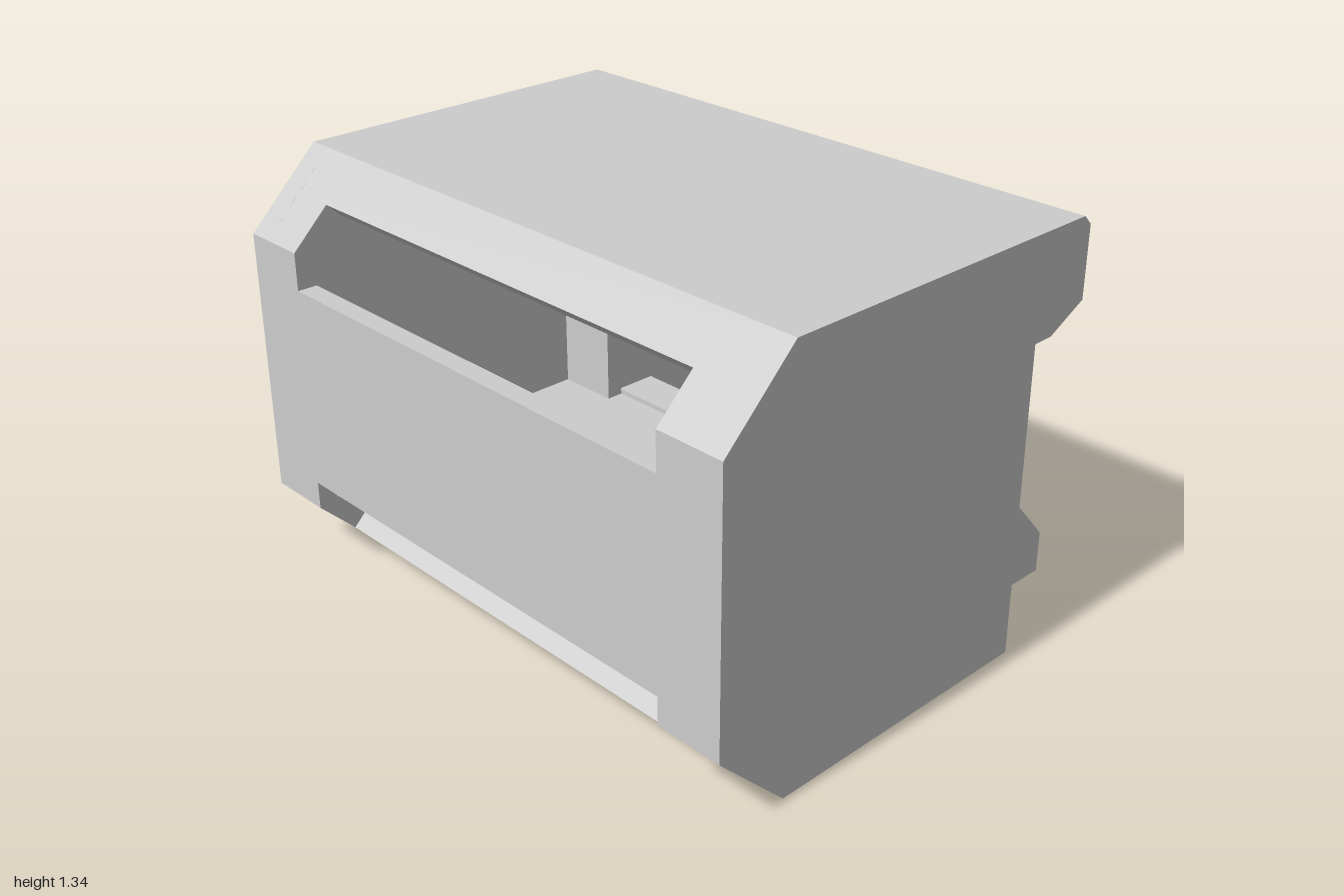
import * as THREE from 'three';

export function createModel() {
  const model = new THREE.Group();
  model.name = 'cabin';
  const grey = new THREE.MeshStandardMaterial({ color: 0xcccccc });
  grey.name = 'light grey';

  // Extrudes a side profile of [z, y] points between two x positions
  function slab(name, points, x0, x1) {
    const shape = new THREE.Shape(points.map(([z, y]) => new THREE.Vector2(z, y)));
    const geo = new THREE.ExtrudeGeometry(shape, { depth: x1 - x0, bevelEnabled: false });
    geo.rotateY(-Math.PI / 2).translate(x1, 0, 0);
    const mesh = new THREE.Mesh(geo, grey);
    mesh.name = name;
    model.add(mesh);
  }
  function pair(name, points, x0, x1) {
    slab(name + 'Left', points, x0, x1);
    slab(name + 'Right', points, -x1, -x0);
  }
  const rect = (z0, z1, y0, y1) => [[z0, y0], [z1, y0], [z1, y1], [z0, y1]];

  const inner = 0.92, slot = 0.775, door = 0.7;

  // Side walls carry the full outline
  pair('sideWall', [
    [-0.39, 0], [0.58, 0], [0.82, 0.24], [0.82, 1.1], [0.58, 1.335], [-0.57, 1.335],
    [-0.6, 1.305], [-0.6, 1.08], [-0.46, 1.01], [-0.39, 1.01],
  ], inner, 1);

  // Roof with sloped front edge, rear lintel and overhang
  slab('roof', [
    [0.58, 1.335], [-0.57, 1.335], [-0.6, 1.305], [-0.6, 1.08], [-0.46, 1.01], [-0.33, 1.01],
    [-0.33, 1.27], [0.555, 1.27], [0.653, 1.178], [0.697, 1.22],
  ], -inner, inner);

  // Floor and front wall between the two slots
  slab('floor', [[-0.39, 0], [0.58, 0], [0.7, 0.12], [0.565, 0.255], [-0.39, 0.255]], -inner, inner);
  slab('frontWall', rect(0.755, 0.82, 0.33, 0.98), -inner, inner);

  // Corner pieces closing the ends of the slots
  pair('upperSlotEnd', [
    [0.755, 0.98], [0.82, 0.98], [0.82, 1.1], [0.697, 1.22], [0.653, 1.178], [0.755, 1.075],
  ], slot, inner);
  pair('lowerSlotEnd', [
    [0.7, 0.12], [0.82, 0.24], [0.82, 0.33], [0.755, 0.33], [0.755, 0.255], [0.565, 0.255],
  ], slot, inner);

  // Rear door jambs
  pair('doorJamb', rect(-0.39, -0.33, 0.255, 1.01), door, inner);

  // Stair sides and treads
  pair('stairSide', [
    [-0.39, 0.01], [-0.39, 0.48], [-0.525, 0.48], [-0.82, 0.15], [-0.82, 0.01],
  ], 0.74, 0.8);
  for (let i = 0; i < 3; i++) {
    const z = -0.75 + i * 0.09, y = 0.005 + i * 0.085;
    slab('stairTread' + (i + 1), rect(z, z + 0.15, y, y + 0.075), -0.74, 0.74);
  }
  return model;
}
